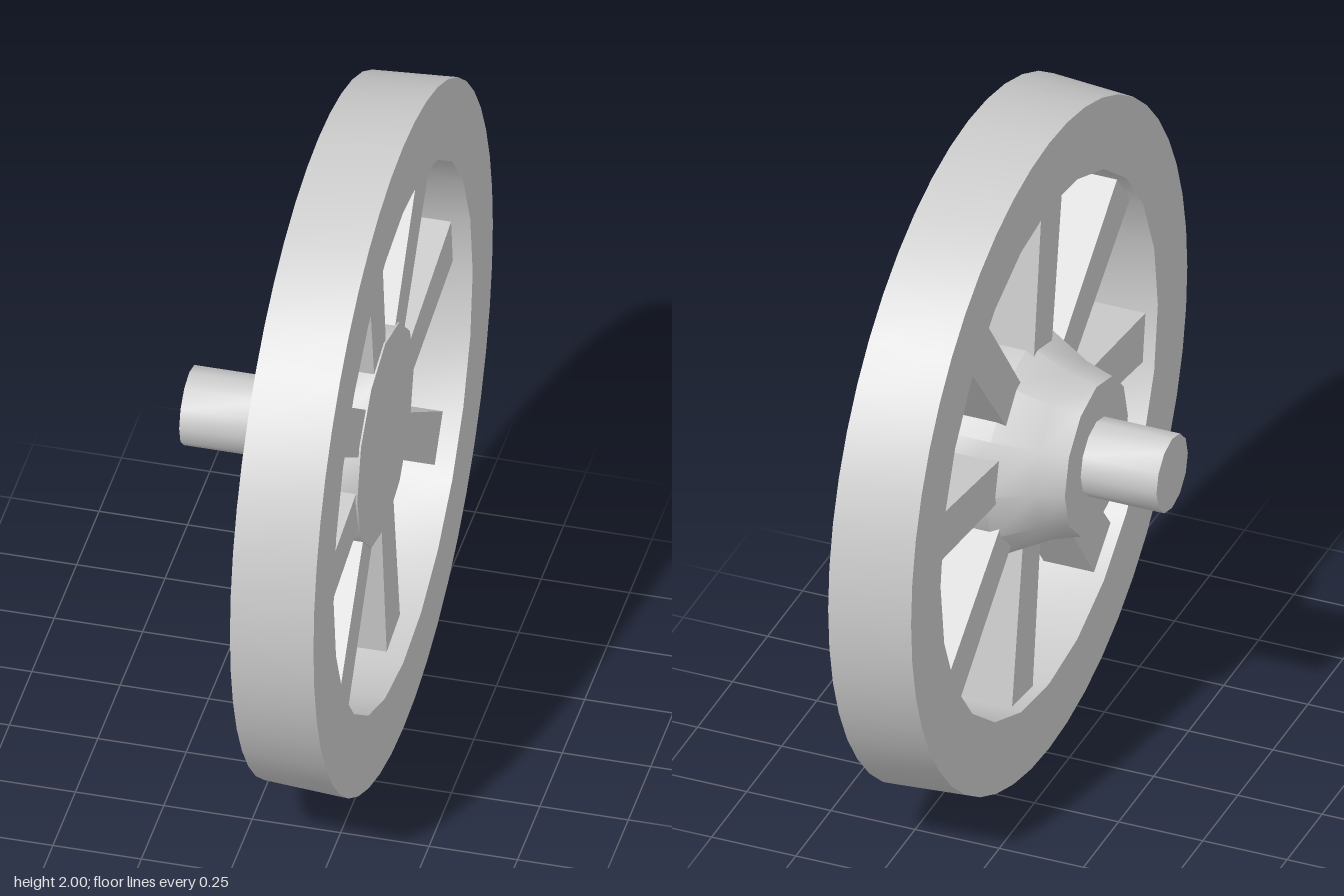
import * as THREE from 'three';
import { toCreasedNormals } from 'three/addons/utils/BufferGeometryUtils.js';

const material = new THREE.MeshStandardMaterial({ color: 0xcccccc });

function addPart(parent, name, geometry, crease) {
  const mesh = new THREE.Mesh(toCreasedNormals(geometry, crease), material);
  mesh.name = name;
  parent.add(mesh);
  return mesh;
}

function ringPoints(radius, sides) {
  return Array.from({ length: sides }, (_, i) => {
    const a = (i / sides) * Math.PI * 2;
    return new THREE.Vector2(Math.cos(a) * radius, Math.sin(a) * radius);
  });
}

// Solid of revolution around x, from [x, radius] pairs
function turned(profile, sides) {
  const points = profile.map(([x, r]) => new THREE.Vector2(r, x));
  return new THREE.LatheGeometry(points, sides).rotateZ(-Math.PI / 2);
}

// Square-section ring whose outer face narrows slightly towards the axle side
function rimGeometry() {
  const shape = new THREE.Shape(ringPoints(1, 48));
  shape.holes.push(new THREE.Path(ringPoints(0.775, 24)));
  const geometry = new THREE.ExtrudeGeometry(shape, { depth: 0.24, bevelEnabled: false });
  const p = geometry.attributes.position;
  for (let i = 0; i < p.count; i++) {
    if (p.getZ(i) < 0.1 && Math.hypot(p.getX(i), p.getY(i)) > 0.9) {
      p.setXY(i, p.getX(i) * 0.985, p.getY(i) * 0.985);
    }
  }
  return geometry.rotateY(Math.PI / 2).translate(0.06, 0, 0);
}

// Bar running from inside the hub into the rim, a little slimmer at the hub
function spokeGeometry() {
  const geometry = new THREE.BoxGeometry(0.15, 0.6, 0.15).translate(0.17, 0.5, 0);
  const p = geometry.attributes.position;
  for (let i = 0; i < p.count; i++) {
    if (p.getY(i) < 0.5) p.setZ(i, p.getZ(i) * 0.85);
  }
  return geometry;
}

export function createModel() {
  const group = new THREE.Group();
  const wheel = new THREE.Group();
  wheel.name = 'wheel';
  wheel.position.y = 1;
  group.add(wheel);

  addPart(wheel, 'rim', rimGeometry(), 0.6);

  // Hub with a sloped back and a flat outer face
  const hub = [[-0.08, 0], [-0.08, 0.225], [0, 0.25], [0.12, 0.315], [0.25, 0.315], [0.25, 0]];
  addPart(wheel, 'hub', turned(hub, 12), 0.6);

  // Axle stub
  addPart(wheel, 'axle', turned([[-0.305, 0], [-0.305, 0.112], [-0.05, 0.112]], 12), 0.6);

  // Eight spokes, turned slightly off vertical
  for (let i = 0; i < 8; i++) {
    const spoke = addPart(wheel, 'spoke', spokeGeometry(), 0.4);
    spoke.rotation.x = THREE.MathUtils.degToRad(8 + i * 45);
  }
  return group;
}
